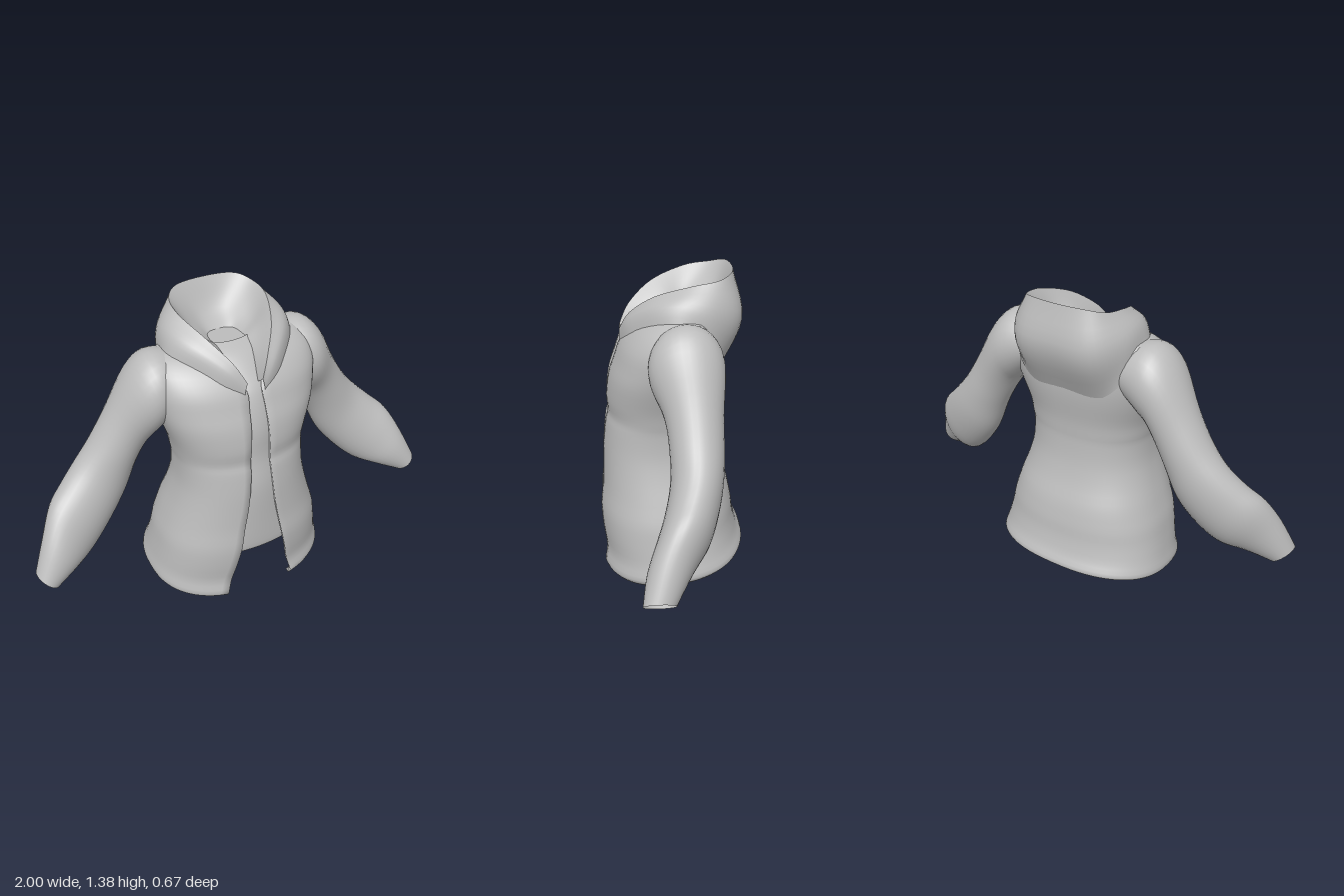
import * as THREE from 'three';

const V = (x, y, z) => new THREE.Vector3(x, y, z);

// Smoothly resample a list of points
const smooth = (pts, n) => new THREE.CatmullRomCurve3(pts, false, 'centripetal').getPoints(n);

// Smoothly resample rows of numbers with a uniform spline
function resample(keys, per) {
  const out = [];
  for (let i = 0; i < keys.length - 1; i++) {
    const k = [Math.max(i - 1, 0), i, i + 1, Math.min(i + 2, keys.length - 1)].map(j => keys[j]);
    for (let s = 0; s < per; s++) {
      const t = s / per;
      out.push(k[1].map((b, c) => {
        const [a, , d, e] = k.map(r => r[c]);
        return b + 0.5 * t * (d - a + t * (2 * a - 5 * b + 4 * d - e + t * (3 * (b - d) + e - a)));
      }));
    }
  }
  out.push(keys[keys.length - 1]);
  return out;
}

// Skin a grid of points; closed joins the last column to the first
function skin(name, rows, material, closed = false) {
  const n = rows[0].length, index = [];
  for (let r = 0; r < rows.length - 1; r++) {
    for (let c = 0; c < (closed ? n : n - 1); c++) {
      const a = r * n + c, b = r * n + (c + 1) % n;
      index.push(a, b, b + n, a, b + n, a + n);
    }
  }
  const geometry = new THREE.BufferGeometry().setFromPoints(rows.flat());
  geometry.setIndex(index);
  geometry.computeVertexNormals();
  const mesh = new THREE.Mesh(geometry, material);
  mesh.name = name;
  return mesh;
}

// Jacket body: height, half width, front z, back z, half gap at the opening, roundness
const BODY = [
  [0.00, 0.425, 0.314, -0.315, 0.165, 0.84], [0.03, 0.440, 0.334, -0.334, 0.168, 0.84],
  [0.10, 0.425, 0.321, -0.308, 0.150, 0.84], [0.20, 0.407, 0.333, -0.288, 0.128, 0.84],
  [0.30, 0.390, 0.337, -0.278, 0.106, 0.84], [0.40, 0.360, 0.326, -0.258, 0.088, 0.84],
  [0.50, 0.328, 0.321, -0.220, 0.070, 0.85], [0.60, 0.305, 0.316, -0.195, 0.058, 0.86],
  [0.70, 0.300, 0.304, -0.186, 0.050, 0.86], [0.75, 0.306, 0.292, -0.187, 0.048, 0.86],
  [0.82, 0.320, 0.297, -0.192, 0.046, 0.86], [0.92, 0.353, 0.284, -0.208, 0.042, 0.84],
  [1.00, 0.373, 0.257, -0.215, 0.038, 0.83], [1.08, 0.382, 0.227, -0.213, 0.036, 0.83],
  [1.15, 0.372, 0.175, -0.203, 0.080, 0.85], [1.195, 0.335, 0.115, -0.185, 0.120, 0.88],
  [1.212, 0.290, 0.070, -0.178, 0.140, 0.90], [1.218, 0.240, 0.040, -0.176, 0.150, 0.90],
];

function bodyRow([y, w, zf, zb, gap, power], inset = 0) {
  const steps = 64, mid = (zf + zb) / 2, depth = (zf - zb) / 2 - inset;
  const a0 = Math.asin(Math.pow(gap / w, 1 / power)), row = [];
  for (let i = 0; i <= steps; i++) {
    const a = a0 + (2 * Math.PI - 2 * a0) * i / steps, s = Math.sin(a), c = Math.cos(a);
    const lift = 0.045 * (1 - c) * Math.max(0, 1 - y / 0.35);
    row.push(V((w - inset) * Math.sign(s) * Math.pow(Math.abs(s), power), y + lift,
      mid + depth * Math.sign(c) * Math.pow(Math.abs(c), power)));
  }
  // Edges of the opening turn inwards
  const first = row[0].clone(), last = row[steps].clone();
  for (const [p, s] of [[first, 1], [last, -1]]) { p.z -= 0.025; p.x += 0.006 * s; }
  return [first, ...row, last];
}

// Sleeve: bottom x y, top x y, middle z, half depth
const SLEEVE = [
  [0.250, 0.960, 0.240, 1.195, -0.050, 0.125], [0.325, 0.890, 0.360, 1.217, -0.043, 0.156],
  [0.362, 0.855, 0.455, 1.145, -0.045, 0.154], [0.400, 0.790, 0.560, 0.960, -0.065, 0.122],
  [0.450, 0.690, 0.645, 0.825, -0.072, 0.112], [0.510, 0.550, 0.722, 0.735, -0.067, 0.108],
  [0.600, 0.430, 0.800, 0.660, -0.040, 0.108], [0.700, 0.340, 0.875, 0.590, 0.000, 0.106],
  [0.800, 0.300, 0.938, 0.475, 0.055, 0.090], [0.910, 0.257, 1.000, 0.337, 0.100, 0.065],
];

function sleeveRows(side) {
  return resample(SLEEVE, 4).map(([bx, by, tx, ty, z, h]) => {
    const row = [];
    for (let i = 0; i < 32; i++) {
      const a = i / 32 * Math.PI * 2, u = (1 + Math.cos(a)) / 2;
      row.push(V(side * (bx + (tx - bx) * u), by + (ty - by) * u, z + side * h * Math.sin(a)));
    }
    return row;
  });
}

// Hood ribs from front to back: base, outside, rim, lining, neck
const HOOD = [
  [V(.050, 1.03, .230), V(.046, 1.08, .232), V(.036, 1.12, .230), V(.034, 1.10, .205), V(.032, 1.08, .170)],
  [V(.165, 1.09, .175), V(.118, 1.175, .195), V(.082, 1.205, .185), V(.070, 1.18, .135), V(.055, 1.16, .080)],
  [V(.280, 1.16, .050), V(.222, 1.252, .085), V(.155, 1.290, .080), V(.115, 1.24, .035), V(.070, 1.20, .020)],
  [V(.310, 1.16, -.050), V(.275, 1.275, -.040), V(.208, 1.343, -.070), V(.140, 1.25, -.060), V(.075, 1.20, -.040)],
  [V(.270, 1.06, -.165), V(.272, 1.24, -.170), V(.198, 1.363, -.185), V(.120, 1.26, -.130), V(.065, 1.20, -.090)],
  [V(.165, .965, -.195), V(.180, 1.19, -.285), V(.135, 1.383, -.247), V(.070, 1.26, -.180), V(.040, 1.20, -.110)],
  [V(0, .940, -.195), V(0, 1.19, -.303), V(0, 1.386, -.265), V(0, 1.26, -.195), V(0, 1.20, -.115)],
];

function hoodRows(from, to) {
  const ribs = [...HOOD, ...HOOD.slice(0, -1).reverse().map(rib => rib.map(p => V(-p.x, p.y, p.z)))];
  const curves = ribs.map(rib => smooth(rib.slice(from, to + 1), 10));
  return curves[0].map((_, r) => resample(curves.map(c => c[r].toArray()), 5).map(p => V(...p)));
}

// Shirt front, from the hem to the neck: height, half width, z
const SHIRT = [
  [.245, .14, .285], [.255, .14, .300], [.40, .11, .303], [.60, .085, .302], [.75, .075, .280],
  [.90, .07, .275], [1.05, .065, .230], [1.12, .07, .165], [1.18, .08, .090], [1.21, .08, .020],
];

export function createModel() {
  const model = new THREE.Group();
  model.name = 'hoodedJacket';
  const fabric = new THREE.MeshStandardMaterial({ color: 0xbcbcbc, side: THREE.DoubleSide });
  fabric.name = 'grey fabric';

  // Jacket body with a folded hem
  const rows = resample(BODY, 3).map(k => bodyRow(k));
  rows.unshift(bodyRow([0.015, ...BODY[0].slice(1)], 0.01));
  model.add(skin('jacketBody', rows, fabric));

  // Sleeves
  model.add(skin('leftSleeve', sleeveRows(1), fabric, true));
  model.add(skin('rightSleeve', sleeveRows(-1), fabric, true));

  // Lowered hood with its lining
  model.add(skin('hood', hoodRows(0, 2), fabric));
  model.add(skin('hoodLining', hoodRows(2, 4), fabric));

  // Shirt showing between the jacket edges
  const shirt = resample(SHIRT, 4).map(([y, w, z]) =>
    Array.from({ length: 9 }, (_, i) => {
      const t = i / 4 - 1;
      return V(t * w, y, z - 0.015 * t * t);
    }));
  model.add(skin('shirtFront', shirt, fabric));

  // Flat closure at the base of the neck
  const neck = new THREE.Mesh(new THREE.CircleGeometry(0.085, 24), fabric);
  neck.name = 'neckBase';
  neck.rotation.x = -Math.PI / 2;
  neck.position.set(0, 1.2, -0.04);
  model.add(neck);

  return model;
}
